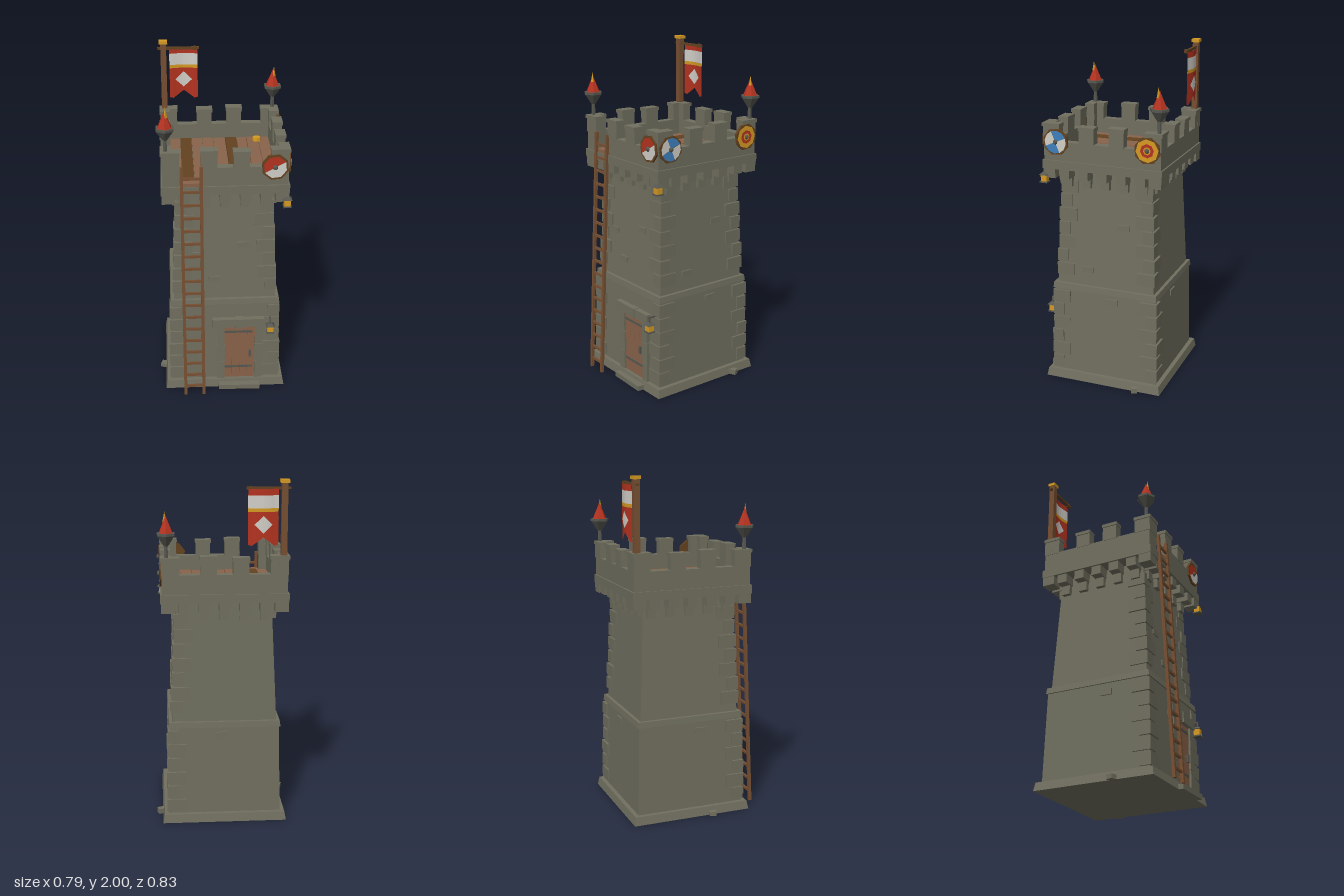
import * as THREE from 'three';

const paint = (name, color, extra = {}) => Object.assign(new THREE.MeshStandardMaterial({ color, flatShading: true, ...extra }), { name });

export function createModel() {
  const stone = paint('stone', 0x706f5f);
  const iron = paint('iron', 0x565750);
  const wood = paint('wood', 0x89634a);
  const darkWood = paint('darkWood', 0x634220);
  const midWood = paint('midWood', 0x774f32);
  const gold = paint('gold', 0xd69a22, { side: THREE.DoubleSide });
  const red = paint('red', 0xb43320, { side: THREE.DoubleSide });
  const white = paint('white', 0xd2cfc8, { side: THREE.DoubleSide });
  const blue = paint('blue', 0x3f80bd);

  const model = new THREE.Group();
  model.name = 'watchtower';
  const group = (name, parent, x = 0, y = 0, z = 0) => {
    const g = new THREE.Group();
    g.name = name;
    g.position.set(x, y, z);
    parent.add(g);
    return g;
  };
  const add = (name, parent, geo, mat, x, y, z) => {
    const m = new THREE.Mesh(geo, mat);
    m.name = name;
    m.position.set(x, y, z);
    parent.add(m);
    return m;
  };
  const box = (name, parent, mat, w, h, d, x, y, z) => add(name, parent, new THREE.BoxGeometry(w, h, d), mat, x, y, z);
  // cone or prism with few sides
  const prism = (name, parent, mat, top, bottom, h, sides, x, y, z) =>
    add(name, parent, new THREE.CylinderGeometry(top, bottom, h, sides), mat, x, y, z);
  // square block that tapers from half width b to half width t
  const frustum = (name, parent, mat, b, t, y0, y1) => {
    const m = prism(name, parent, mat, t * Math.SQRT2, b * Math.SQRT2, y1 - y0, 4, 0, (y0 + y1) / 2, 0);
    m.geometry.rotateY(Math.PI / 4);
    return m;
  };

  // Tower body
  const tower = group('tower', model, 0, 0, -0.025);
  const half = y => (y < 0.6 ? 0.33 - 0.022 * y : 0.303 - 0.045 * (y - 0.6));
  frustum('plinth', tower, stone, 0.363, 0.354, 0, 0.05);
  frustum('lowerWall', tower, stone, half(0.05), half(0.58), 0.05, 0.58);
  frustum('stringCourse', tower, stone, 0.326, 0.322, 0.575, 0.61);
  frustum('upperWall', tower, stone, half(0.61), half(1.33), 0.61, 1.33);

  // Corner stones, alternating long and short; the last corner is almost flush
  for (const [sx, sz, out] of [[1, -1, 0.009], [-1, 1, 0.009], [1, 1, 0.004]]) {
    for (let i = 0; i < 14; i++) {
      const y = 0.1 + i * 0.085;
      if (Math.abs(y - 0.6) < 0.04) continue;
      const o = half(y) + out + (i % 3) * 0.002;
      const lx = i % 2 ? 0.07 : 0.11, lz = i % 2 ? 0.11 : 0.07;
      box('cornerStone', tower, stone, lx, 0.074, lz, sx * (o - lx / 2), y, sz * (o - lz / 2));
    }
  }

  // Scattered wall bricks: offset along the wall and height, per side
  const bricks = [
    [[0.11, 0.96], [-0.06, 0.74], [-0.16, 0.9]],
    [[0.11, 0.99], [-0.11, 0.71], [0.05, 0.53]],
    [[-0.02, 0.53]],
    [[0.06, 0.52]],
  ];

  // Four sides: corbels, parapet and battlements
  const sides = ['front', 'left', 'back', 'right'].map((name, k) => {
    const side = group(name + 'Side', tower);
    side.rotation.y = k * Math.PI / 2;
    for (const [u, y] of bricks[k]) box('wallBrick', side, stone, 0.07, 0.035, 0.016, u, y, half(y));
    for (let i = -2; i <= 2; i++) {
      box('corbel', side, stone, 0.062, 0.06, 0.08, i * 0.115, 1.295, 0.31);
      box('corbelFoot', side, stone, 0.052, 0.06, 0.05, i * 0.115, 1.238, 0.275);
    }
    box('cornerCorbel', side, stone, 0.075, 0.06, 0.075, 0.32, 1.295, 0.32);
    // parapet wall, with an opening for the ladder on the front
    if (k === 0) {
      box('parapet', side, stone, 0.095, 0.12, 0.05, -0.3045, 1.42, 0.327);
      box('parapet', side, stone, 0.477, 0.12, 0.05, 0.1135, 1.42, 0.327);
    } else box('parapet', side, stone, 0.704, 0.12, 0.05, 0, 1.42, 0.327);
    [-0.305, -0.09, 0.09, 0.305].forEach((u, i) => {
      const h = 0.085 + ((i + k) % 2) * 0.008;
      const w = i % 3 ? 0.09 : 0.1;
      box('merlon', side, stone, w, h, 0.055, u, 1.475 + h / 2, 0.327);
      box('merlonCap', side, stone, w + 0.008, 0.02, 0.062, u, 1.475 + h + 0.006, 0.329);
    });
    return side;
  });
  box('parapetBand', tower, stone, 0.722, 0.05, 0.722, 0, 1.345, 0);

  // Plank floor and sill
  const edges = [-0.303, -0.24, -0.17, -0.105, -0.04, 0.035, 0.105, 0.165, 0.235, 0.303];
  for (let i = 0; i < 9; i++) {
    const w = edges[i + 1] - edges[i];
    box('floorPlank', tower, i === 1 || i === 5 ? darkWood : wood, w - 0.003, 0.02, 0.606, edges[i] + w / 2, 1.378 + (i % 2) * 0.003, 0);
  }
  box('ladderSill', tower, wood, 0.128, 0.02, 0.065, -0.19, 1.38, 0.325);
  prism('floorPot', tower, gold, 0.024, 0.027, 0.025, 7, 0.225, 1.4, -0.245);

  // Door
  const door = group('door', tower, 0.088, 0, 0.322);
  for (let i = 0; i < 4; i++) box('doorPlank', door, wood, 0.046, 0.37, 0.02, (i - 1.5) * 0.0465, 0.235, 0.003);
  for (const y of [0.13, 0.385]) box('hingeStrap', door, iron, 0.17, 0.014, 0.006, -0.006, y, 0.014);
  box('doorHandle', door, iron, 0.014, 0.045, 0.016, 0.062, 0.23, 0.018);
  for (const s of [-1, 1]) {
    for (let i = 0; i < 3; i++) box('doorJamb', door, stone, 0.045 + (i % 2) * 0.006, 0.123, 0.045, s * 0.115, 0.11 + i * 0.125, 0.002);
  }
  box('lintel', door, stone, 0.31, 0.055, 0.055, -0.008, 0.453, 0.003);
  box('keystone', door, stone, 0.05, 0.062, 0.065, 0, 0.453, 0.005);
  box('doorStep', door, stone, 0.25, 0.03, 0.11, -0.003, 0.015, 0.018).rotation.y = -0.03;

  // Loose stones at the foot
  box('looseStone', model, stone, 0.05, 0.025, 0.04, -0.367, 0.0125, 0.1).rotation.y = -0.3;
  box('looseStone', model, stone, 0.06, 0.03, 0.035, 0.363, 0.015, -0.23).rotation.y = 0.4;

  // Ladder
  const ladder = group('ladder', model, -0.19, 0.002, 0.404);
  ladder.rotation.x = -0.048;
  for (const s of [-1, 1]) box('ladderRail', ladder, midWood, 0.018, 1.49, 0.018, s * 0.055, 0.745, 0);
  for (let i = 0; i < 18; i++) box('ladderRung', ladder, midWood, 0.11, 0.014, 0.012, 0, 0.06 + i * 0.08, 0);

  // Shields; each paint is [material, radius, start angle, sweep, segments]
  const shield = (name, side, u, layers) => {
    const g = group(name, side, u, 1.48, 0.355);
    prism('shieldRim', g, darkWood, 0.078, 0.078, 0.016, 8, 0, 0, 0).rotation.set(Math.PI / 2, Math.PI / 8 + 0.1, 0);
    layers.forEach(([mat, r, start, sweep, seg], i) =>
      add('shieldPaint', g, new THREE.CircleGeometry(r, seg, start, sweep), mat, 0, 0, 0.009 + i * 0.001));
    prism('shieldBoss', g, iron, 0.008, 0.016, 0.012, 6, 0, 0, 0.016).rotation.x = Math.PI / 2;
  };
  const P = Math.PI;
  shield('redShield', sides[0], 0.275, [[red, 0.066, 0.5, P, 4], [white, 0.066, 0.5 + P, P, 4]]);
  shield('blueShield', sides[1], -0.275, [0, 1, 2, 3].map(i => [i % 2 ? white : blue, 0.066, 0.4 + i * P / 2, P / 2, 2]));
  shield('goldShield', sides[1], 0.275, [[gold, 0.067, 0.1, 2 * P, 8], [red, 0.04, 0.1, 2 * P, 8], [gold, 0.022, 0.1, 2 * P, 8]]);

  // Lanterns
  const lantern = (x, y, z) => {
    const g = group('lantern', model, x, y, z);
    box('lanternBase', g, iron, 0.046, 0.008, 0.046, 0, 0.004, 0);
    box('lanternGlass', g, gold, 0.036, 0.038, 0.036, 0, 0.027, 0);
    frustum('lanternRoof', g, iron, 0.027, 0.01, 0.046, 0.062);
    box('lanternHook', g, iron, 0.008, 0.035, 0.008, 0, 0.076, 0);
    return g;
  };
  lantern(0.348, 1.233, 0.328);
  box('lanternArm', lantern(0.27, 0.392, 0.333), iron, 0.01, 0.01, 0.06, 0, 0.09, -0.024);

  // Corner spires with bowl and flame
  for (const [x, z] of [[-0.33, 0.297], [0.325, -0.357]]) {
    const g = group('cornerSpire', model, x, 1.57, z);
    prism('spirePost', g, iron, 0.011, 0.013, 0.08, 6, 0, 0.04, 0);
    prism('spireBowl', g, iron, 0.054, 0.014, 0.058, 6, 0, 0.1, 0);
    prism('spireRim', g, iron, 0.056, 0.056, 0.014, 6, 0, 0.136, 0);
    const flame = [[0.043, 0.142], [0.031, 0.17], [0.015, 0.205], [0, 0.24]].map(p => new THREE.Vector2(...p));
    add('flame', g, new THREE.LatheGeometry(flame, 6), red, 0, 0, 0);
    prism('flameTip', g, gold, 0, 0.011, 0.06, 4, 0.006, 0.231, 0.006);
  }

  // Flagpole
  const flag = group('flag', model, -0.328, 0, -0.353);
  box('flagpole', flag, midWood, 0.034, 0.43, 0.034, 0, 1.77, 0);
  box('poleCap', flag, gold, 0.05, 0.018, 0.045, 0, 1.991, 0);
  box('crossbar', flag, darkWood, 0.245, 0.014, 0.016, 0.088, 1.953, 0);
  box('barEnd', flag, darkWood, 0.014, 0.022, 0.022, 0.185, 1.953, 0);

  // Banner strips between two height rules, with one gentle fold
  const cloth = (name, mat, w, top, bottom, dz = 0) => {
    const geo = new THREE.PlaneGeometry(w, 1, 8, 1);
    const p = geo.attributes.position;
    for (let i = 0; i < p.count; i++) {
      const x = p.getX(i), a = Math.abs(x);
      p.setXYZ(i, x, p.getY(i) > 0 ? top(a) : bottom(a), -0.007 * Math.cos(x * 30) + dz);
    }
    geo.computeVertexNormals();
    add(name, flag, geo, mat, 0.118, 0, -0.017);
  };
  const level = y => () => y;
  cloth('bannerTop', red, 0.168, level(1.95), level(1.915));
  cloth('bannerWhiteStripe', white, 0.168, level(1.915), level(1.845));
  cloth('bannerGoldStripe', gold, 0.168, level(1.845), level(1.825));
  cloth('bannerTail', red, 0.168, level(1.825), a => 1.685 - Math.min(a, 0.063) * 0.75 + Math.max(0, a - 0.063) * 0.3);
  for (const dz of [-0.003, 0.003]) {
    cloth('bannerDiamond', white, 0.1, a => 1.755 + 0.048 * (1 - a / 0.05), a => 1.755 - 0.048 * (1 - a / 0.05), dz);
  }

  return model;
}
